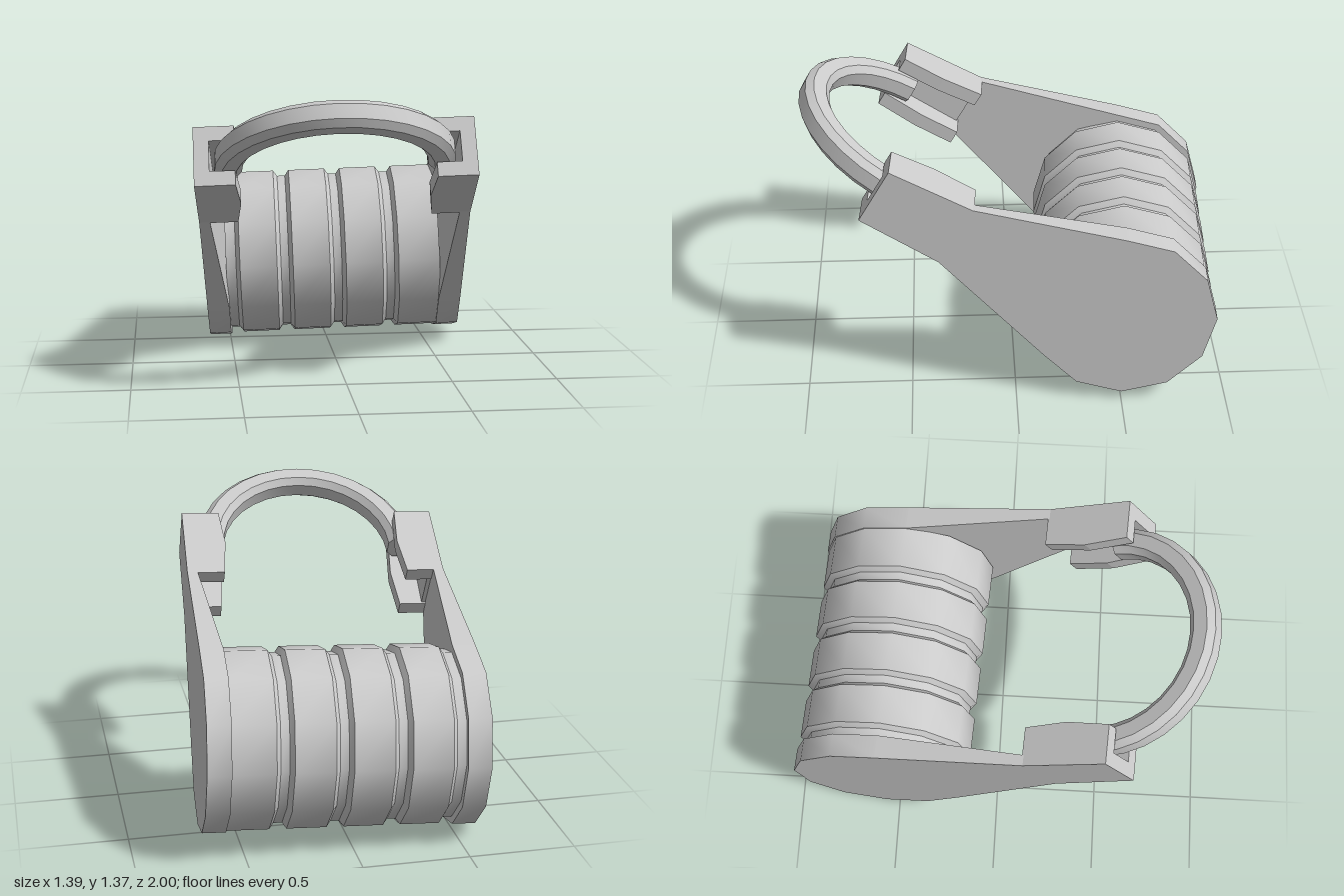
import * as THREE from 'three';
import { toCreasedNormals } from 'three/addons/utils/BufferGeometryUtils.js';

// Local frame: x = drum axis, z = along the arms, y = across the arms
const HALF = 0.638, R = 0.432, ARM_START = 0.9, ARM_END = 1.315;
const V = (x, y) => new THREE.Vector2(x, y);
const material = new THREE.MeshStandardMaterial({ color: 0xcccccc });

function part(name, geometry, crease = 0.6) {
  const mesh = new THREE.Mesh(toCreasedNormals(geometry, crease), material);
  mesh.name = name;
  return mesh;
}

// Side plate slab: outline in (z, y), thickness a rule of z
function slab(outline, thickness) {
  const g = new THREE.ExtrudeGeometry(new THREE.Shape(outline), { depth: 1, bevelEnabled: false });
  g.rotateY(-Math.PI / 2);
  const p = g.attributes.position;
  for (let i = 0; i < p.count; i++) p.setX(i, HALF + p.getX(i) * thickness(p.getZ(i)));
  return g;
}

// Clamp flange, upper (side 1) or lower (side -1), following the arm's slight taper
function flange(side) {
  const outline = [[0, 0.89], [0.183, 0.89], [0.203, 1.1], [0.185, ARM_END], [0, ARM_END]]
    .map(([w, z]) => V(HALF - w, z));
  const g = new THREE.ExtrudeGeometry(new THREE.Shape(outline), { depth: 0.07, bevelEnabled: false });
  g.rotateX(Math.PI / 2).translate(0, side > 0 ? 0.144 : -0.074, 0);
  const p = g.attributes.position;
  for (let i = 0; i < p.count; i++) p.setY(i, p.getY(i) + side * (ARM_END - p.getZ(i)) * 0.04);
  return g;
}

function sidePlate(name) {
  const group = new THREE.Group();
  group.name = name;
  // twelve-sided end disc
  const disc = [];
  for (let k = 2; k <= 10; k++) disc.push(V(R * Math.cos(k * Math.PI / 6), R * Math.sin(k * Math.PI / 6)));
  group.add(part('endDisc', slab(disc, () => 0.11)));
  // arm tapering toward the clamp
  const z0 = disc[0].x, y0 = disc[0].y;
  group.add(part('arm', slab(
    [V(z0, y0), V(z0, -y0), V(ARM_START, -0.16), V(ARM_START, 0.16)],
    z => THREE.MathUtils.mapLinear(z, z0, ARM_START, 0.11, 0.05))));
  // channel-shaped clamp
  group.add(part('clampWeb', slab(
    [V(ARM_START, 0.16), V(ARM_START, -0.16), V(ARM_END, -0.144), V(ARM_END, 0.144)], () => 0.07)));
  group.add(part('upperFlange', flange(1), 0.1), part('lowerFlange', flange(-1), 0.1));
  return group;
}

// Grooved drum between the plates
function drum() {
  const wide = 0.425, narrow = 0.397, end = 0.535;
  const points = [V(0, -end), V(narrow, -end)];
  for (let k = 0; k < 4; k++) {
    const c = -0.505 + k * 0.265;
    if (k) points.push(V(wide, c - 0.04), V(narrow, c - 0.02));
    points.push(V(narrow, c + 0.02), V(wide, c + 0.04));
  }
  points.push(V(wide, end), V(0, end));
  return part('drum', new THREE.LatheGeometry(points, 12).rotateZ(-Math.PI / 2));
}

// Half-ring handle with chamfered section
function handle() {
  const group = new THREE.Group();
  group.name = 'handle';
  const section = [[0.55, -0.035], [0.55, 0.035], [0.52, 0.065], [0.455, 0.065],
    [0.425, 0.035], [0.425, -0.035], [0.455, -0.065], [0.52, -0.065]].map(([r, y]) => V(r, y));
  group.add(part('ring', new THREE.LatheGeometry([...section, section[0]], 16, -Math.PI / 2, Math.PI)));
  // flat ends of the ring
  for (const s of [1, -1]) {
    const cap = new THREE.ShapeGeometry(new THREE.Shape(section.map(p => V(s * p.x, p.y))));
    group.add(part('ringEnd', cap.rotateY(Math.PI).scale(1, 1, 1)));
  }
  group.position.z = 1.2;
  return group;
}

export function createModel() {
  const body = new THREE.Group();
  body.name = 'body';
  body.add(drum(), handle());
  const left = sidePlate('leftPlate');
  const right = sidePlate('rightPlate');
  right.rotation.z = Math.PI;
  body.add(left, right);

  // arms rise at thirty degrees, drum axis slightly skewed
  const x = new THREE.Vector3(1.274, 0.045, 0.07).normalize();
  const z = new THREE.Vector3(0, 0.5, 0.866);
  z.addScaledVector(x, -z.dot(x)).normalize();
  const y = new THREE.Vector3().crossVectors(z, x);
  body.quaternion.setFromRotationMatrix(new THREE.Matrix4().makeBasis(x, y, z));
  body.position.set(0.023, 0.457, -0.535);

  const model = new THREE.Group();
  model.add(body);
  return model;
}
